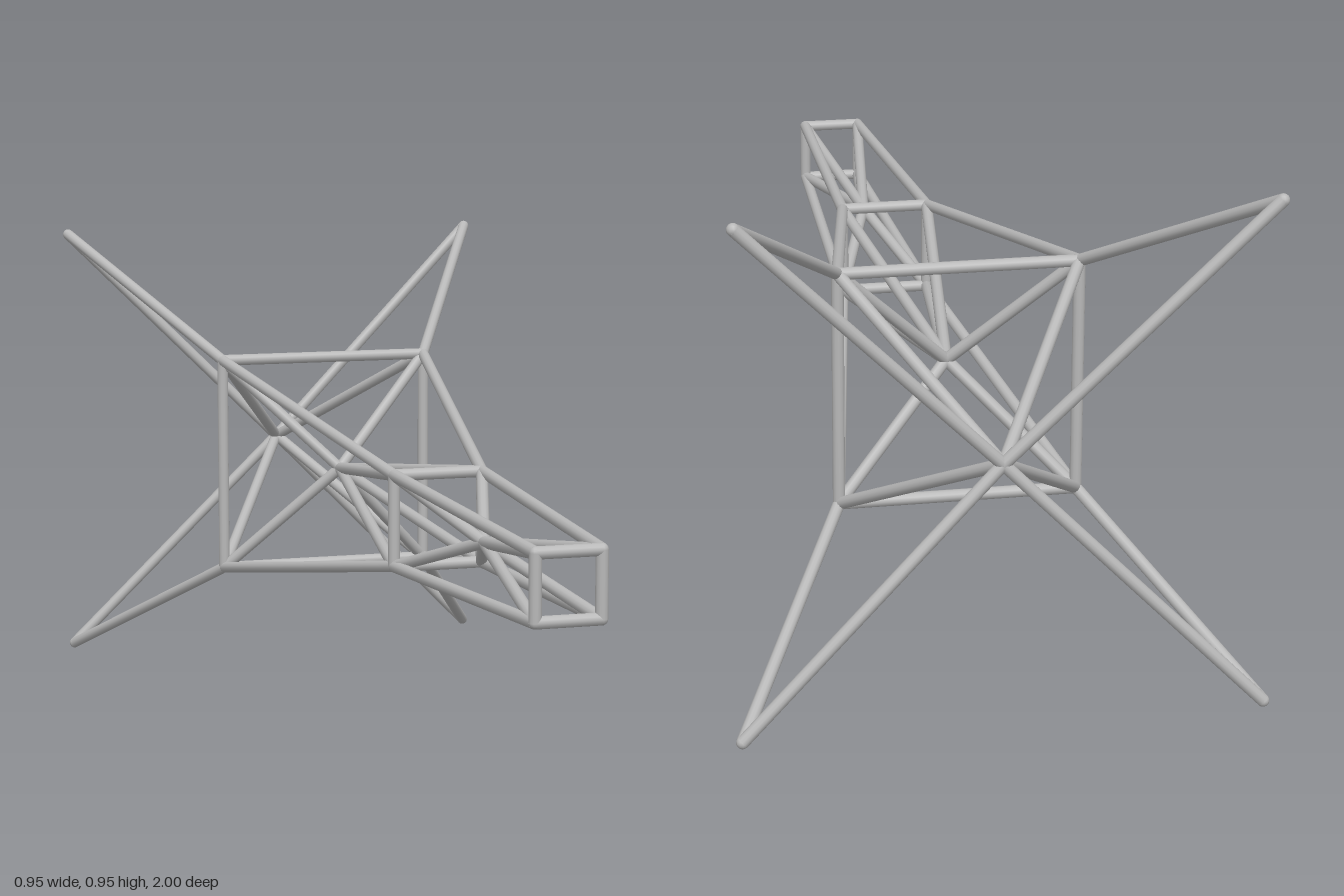
import * as THREE from 'three';

const R = 0.0115;   // tube radius
const CY = 0.474;   // height of the centre axis

export function createModel() {
  const model = new THREE.Group();
  model.name = 'trussFrame';
  const steel = new THREE.MeshStandardMaterial({ color: 0xb8b8b8 });
  steel.name = 'light grey steel';

  const UP = new THREE.Vector3(0, 1, 0);

  // Straight tube between two points
  function bar(name, a, b) {
    const dir = b.clone().sub(a);
    const mesh = new THREE.Mesh(new THREE.CylinderGeometry(R, R, dir.length(), 12), steel);
    mesh.position.copy(a).add(b).multiplyScalar(0.5);
    mesh.quaternion.setFromUnitVectors(UP, dir.normalize());
    mesh.name = name;
    model.add(mesh);
  }

  // Rounded joint where tubes meet
  function joint(p) {
    const mesh = new THREE.Mesh(new THREE.SphereGeometry(R, 12, 8), steel);
    mesh.position.copy(p);
    mesh.name = 'joint';
    model.add(mesh);
  }

  // Four corners of a square station, and nodes on the axis
  const square = (half, z) => [[1, 1], [-1, 1], [-1, -1], [1, -1]].map(
    ([sx, sy]) => new THREE.Vector3(sx * half, CY + sy * half, z));
  const axisNode = (z) => new THREE.Vector3(0, CY, z);

  const stations = [
    square(0.06, 0.988),
    square(0.088, 0.265),
    square(0.223, -0.538),
    square(0.463, -0.989),
  ];
  const nodes = [axisNode(0.54), axisNode(-0.415), axisNode(-0.94)];

  // Square frames at the first three stations
  stations.slice(0, 3).forEach((s) => {
    s.forEach((p, i) => bar('squareFrame', p, s[(i + 1) % 4]));
  });

  // Long rails and the braces crossing at each axis node
  nodes.forEach((n, k) => {
    for (let i = 0; i < 4; i++) {
      const a = stations[k][i], b = stations[k + 1][i];
      bar(k === 2 ? 'finEdge' : 'rail', a, b);
      bar('frontBrace', a, n);
      bar(k === 2 ? 'finBase' : 'rearBrace', n, b);
    }
  });

  [...stations.flat(), ...nodes].forEach(joint);
  return model;
}
